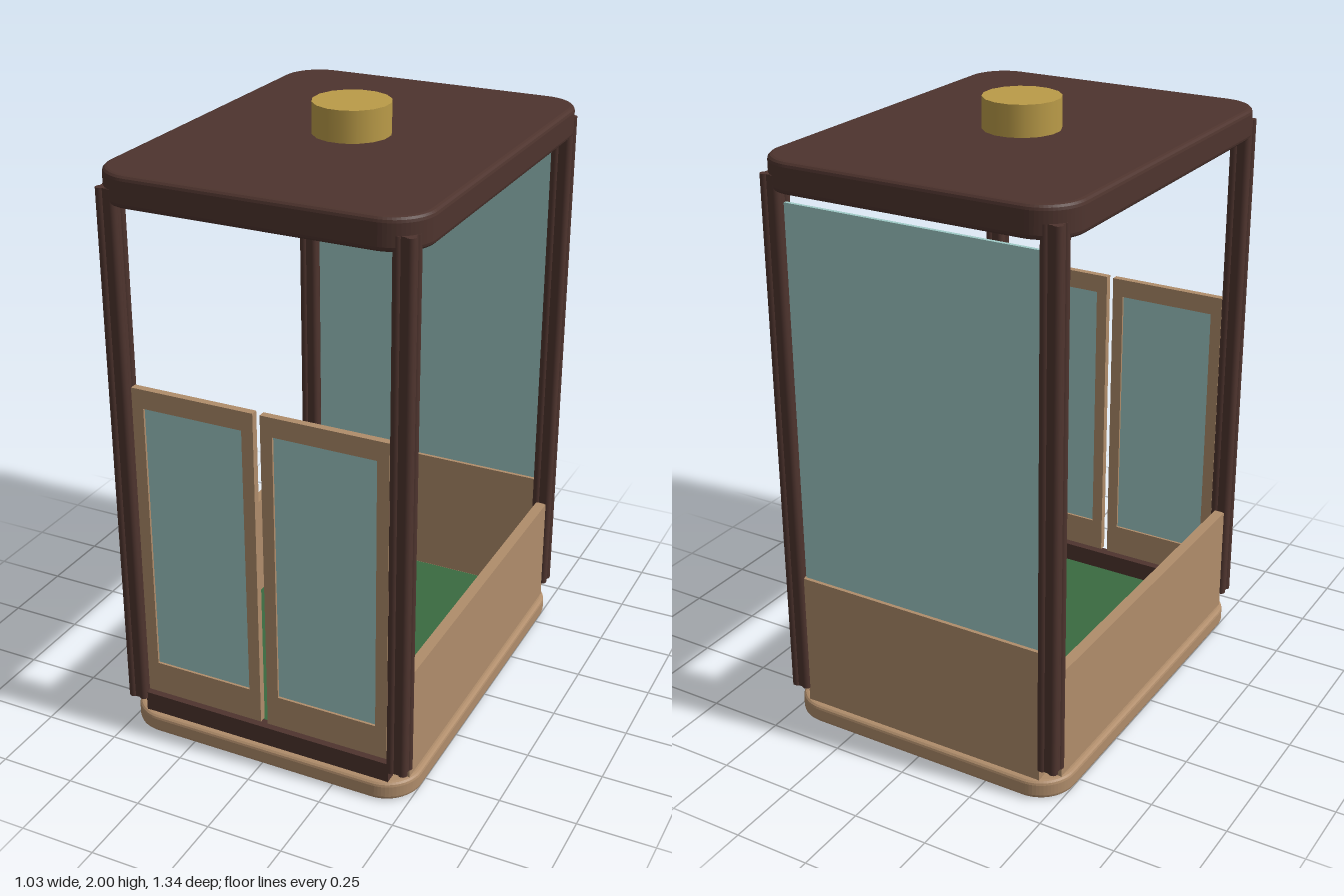
import * as THREE from 'three';
import { mergeGeometries } from 'three/addons/utils/BufferGeometryUtils.js';

const mat = (name, color) => {
  const m = new THREE.MeshStandardMaterial({ color });
  m.name = name;
  return m;
};

// rectangle with rounded corners, centred on the origin
function roundedRect(hx, hy, r) {
  const s = new THREE.Shape();
  s.absarc(hx - r, hy - r, r, 0, Math.PI / 2);
  s.absarc(-hx + r, hy - r, r, Math.PI / 2, Math.PI);
  s.absarc(-hx + r, -hy + r, r, Math.PI, Math.PI * 1.5);
  s.absarc(hx - r, -hy + r, r, Math.PI * 1.5, Math.PI * 2);
  s.closePath();
  return s;
}

// horizontal slab with rounded corners and softened rims
function slab(hx, hz, y0, y1, r, bevel) {
  const g = new THREE.ExtrudeGeometry(roundedRect(hx - bevel, hz - bevel, r - bevel), {
    depth: y1 - y0 - 2 * bevel, bevelEnabled: true, bevelThickness: bevel,
    bevelSize: bevel, bevelSegments: 3, curveSegments: 8,
  });
  g.rotateX(-Math.PI / 2);
  g.translate(0, y0 + bevel, 0);
  return g;
}

// box given by its limits
function span(x0, x1, y0, y1, z0, z1) {
  const g = new THREE.BoxGeometry(x1 - x0, y1 - y0, z1 - z0);
  g.translate((x0 + x1) / 2, (y0 + y1) / 2, (z0 + z1) / 2);
  return g;
}

export function createModel() {
  const wood = mat('light wood', 0xb08d6b);
  const dark = mat('dark wood', 0x4e342e);
  const glass = mat('pale glass', 0x9fcbc7);
  const gold = mat('brass', 0xba9b48);
  const green = mat('green floor', 0x3a6b40);

  const model = new THREE.Group();
  const add = (name, geometry, material, parent = model) => {
    const mesh = new THREE.Mesh(geometry, material);
    mesh.name = name;
    parent.add(mesh);
    return mesh;
  };

  // base, floor and roof
  add('base', slab(0.505, 0.664, 0, 0.064, 0.12, 0.014), wood);
  add('floor', span(-0.45, 0.45, 0.06, 0.068, -0.6, 0.6), green);
  add('roof', slab(0.516, 0.671, 1.8, 1.9, 0.13, 0.016), dark);

  // cap on the roof and lamp below it
  const cap = new THREE.CylinderGeometry(0.123, 0.123, 0.11, 16);
  cap.rotateY(Math.PI / 16);
  add('roofCap', cap, gold).position.y = 1.945;
  const lamp = new THREE.SphereGeometry(0.1, 24, 14);
  lamp.scale(1, 0.48, 1);
  add('ceilingLamp', lamp, wood).position.y = 1.775;

  // corner posts: square core with a rounded rib on each corner
  const postParts = [new THREE.BoxGeometry(0.056, 1.74, 0.056)];
  for (const x of [-0.019, 0.019]) {
    for (const z of [-0.019, 0.019]) {
      const rib = new THREE.CylinderGeometry(0.015, 0.015, 1.74, 12);
      rib.translate(x, 0, z);
      postParts.push(rib);
    }
  }
  const postGeometry = mergeGeometries(postParts);
  for (const x of [-0.465, 0.465]) {
    for (const z of [-0.623, 0.623]) {
      add('cornerPost', postGeometry, dark).position.set(x, 0.978, z);
    }
  }

  // low side walls
  for (const s of [-1, 1]) {
    const wall = add('sideWall', span(-0.018, 0.018, 0.06, 0.438, -0.592, 0.592), wood);
    wall.position.x = s * 0.467;
  }

  // back wall and window
  add('backWall', span(-0.435, 0.435, 0.06, 0.52, -0.643, -0.607), wood);
  add('backWindow', span(-0.43, 0.43, 0.52, 1.765, -0.631, -0.619), glass);

  // front sill and the pair of doors
  add('frontSill', span(-0.435, 0.435, 0.06, 0.13, 0.605, 0.643), dark);
  for (const s of [-1, 1]) {
    const door = new THREE.Group();
    door.name = s > 0 ? 'leftDoor' : 'rightDoor';
    door.position.set(s * 0.219, 0, 0.612);
    model.add(door);
    const frame = new THREE.Shape([[-0.207, 0.143], [0.207, 0.143], [0.207, 1.228], [-0.207, 1.228]]
      .map(([x, y]) => new THREE.Vector2(x, y)));
    frame.holes.push(new THREE.Path([[-0.168, 0.254], [-0.168, 1.165], [0.168, 1.165], [0.168, 0.254]]
      .map(([x, y]) => new THREE.Vector2(x, y))));
    add('doorFrame', new THREE.ExtrudeGeometry(frame, { depth: 0.024, bevelEnabled: false }), wood, door);
    add('doorPane', span(-0.168, 0.168, 0.254, 1.165, 0.008, 0.016), glass, door);
  }
  return model;
}
